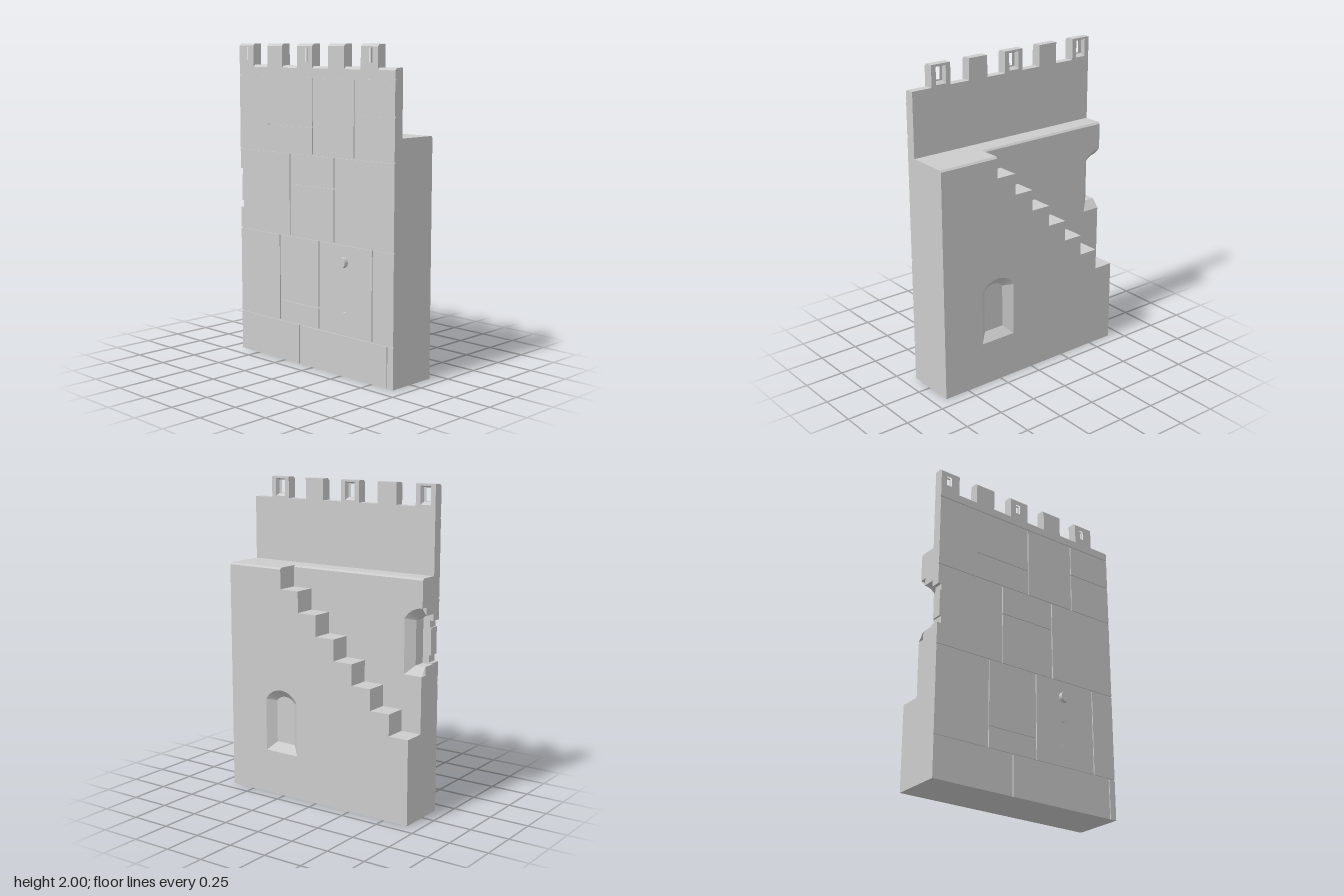
import * as THREE from 'three';

const END = 0.667;                       // half length of the wall along z
const X = { face: -0.155, groove: -0.148, plate: -0.09, walk: 0.035, front: 0.175 };
const grey = new THREE.MeshStandardMaterial({ color: 0xcccccc, flatShading: true });
const greyOpen = new THREE.MeshStandardMaterial({ color: 0xcccccc, flatShading: true, side: THREE.DoubleSide });
const smooth = new THREE.MeshStandardMaterial({ color: 0xcccccc });

// Outlines are lists of [z, y]; shape x is -z so that the extrusion runs along +x.
const toVecs = pts => pts.map(([z, y]) => new THREE.Vector2(-z, y));

// Slab from x0 to x1; bevel = { x, tops, drop } lowers the top edges at one side.
function slab(name, outline, x0, x1, holes = [], bevel) {
  const shape = new THREE.Shape(toVecs(outline));
  holes.forEach(h => shape.holes.push(new THREE.Path(toVecs(h))));
  const geo = new THREE.ExtrudeGeometry(shape, { depth: x1 - x0, bevelEnabled: false });
  geo.rotateY(Math.PI / 2).translate(x0, 0, 0);
  if (bevel) {
    const p = geo.attributes.position;
    for (let i = 0; i < p.count; i++) {
      const hit = bevel.tops.some(t => Math.abs(p.getY(i) - t) < 1e-4);
      if (hit && Math.abs(p.getX(i) - bevel.x) < 1e-4) p.setY(i, p.getY(i) - bevel.drop);
    }
    geo.computeVertexNormals();
  }
  const mesh = new THREE.Mesh(geo, grey);
  mesh.name = name;
  return mesh;
}

// Splayed lining between two matching outlines.
function funnel(name, inner, xIn, outer, xOut, closed) {
  const pos = [];
  const n = inner.length;
  for (let i = 0; i < (closed ? n : n - 1); i++) {
    const j = (i + 1) % n;
    const a = [xIn, inner[i][1], inner[i][0]], b = [xIn, inner[j][1], inner[j][0]];
    const c = [xOut, outer[j][1], outer[j][0]], d = [xOut, outer[i][1], outer[i][0]];
    pos.push(...a, ...b, ...c, ...a, ...c, ...d);
  }
  const geo = new THREE.BufferGeometry();
  geo.setAttribute('position', new THREE.Float32BufferAttribute(pos, 3));
  geo.computeVertexNormals();
  const mesh = new THREE.Mesh(geo, greyOpen);
  mesh.name = name;
  return mesh;
}

// Half of a segmental arched opening, from bottom centre round to the apex.
function halfArch(cz, y0, w, spring, rise) {
  const R = (w * w + rise * rise) / (2 * rise), a = Math.asin(w / R), n = 7;
  const pts = [[cz, y0], [cz + w, y0]];
  for (let i = 0; i <= n; i++) {
    const t = a * (1 - i / n);
    pts.push([cz + R * Math.sin(t), spring + rise - R + R * Math.cos(t)]);
  }
  return pts;
}
const halfSlit = (cz, dy) => [[0, 0.345], [0.025, 0.345], [0.025, 0.39], [0.013, 0.39],
  [0.013, 0.557], [0.022, 0.557], [0.022, 0.6], [0, 0.6]].map(([z, y]) => [cz + z, y + dy]);
const full = (half, cz) => [...half, ...half.slice(1, -1).reverse().map(([z, y]) => [2 * cz - z, y])];
const rect = (z0, z1, y0, y1) => [[z0, y0], [z1, y0], [z1, y1], [z0, y1]];
// Outline starting at the back end, with a half opening cut into that end.
const notched = (outline, half) => [...outline, ...half.slice().reverse()];

export function createModel() {
  const model = new THREE.Group();
  model.name = 'castleWall';
  const add = (...m) => model.add(...m);

  // Window openings: one whole, one cut in half by the back end
  const WZ = 0.268, UP = 0.602;
  const lowIn = full(halfArch(WZ, 0.335, 0.068, 0.608, 0.032), WZ);
  const lowOut = full(halfArch(WZ, 0.282, 0.121, 0.62, 0.07), WZ);
  const upIn = halfArch(-END, 0.335 + UP, 0.068, 0.608 + UP, 0.032);
  const upOut = halfArch(-END, 0.282 + UP, 0.121, 0.62 + UP, 0.07);
  const lowSlit = full(halfSlit(WZ, 0), WZ);
  const upSlit = halfSlit(-END, 0.6);

  // Outer stone courses, separated by grooves: [z0, z1, y0, y1]
  const g = 0.004;
  const bricks = [
    [-END, -0.12, 0, 0.255], [-0.12, 0.62, 0, 0.255], [0.62, END, 0, 0.255],
    [-END, -0.295, 0.255, 0.81], [-0.295, 0.055, 0.255, 0.39], [-0.295, 0.055, 0.39, 0.81],
    [0.055, 0.5, 0.255, 0.81], [0.5, END, 0.255, 0.81],
    [-END, -0.2, 0.81, 1.33], [-0.2, 0.185, 0.81, 1.14], [-0.2, 0.185, 1.14, 1.33],
    [0.185, END, 0.81, 1.33],
    [-END, -0.392, 1.33, 1.8], [-0.4, 0, 1.33, 1.5], [-0.4, 0, 1.5, 1.8],
    [0, 0.35, 1.33, 1.8], [0.35, END, 1.33, 1.59], [0.35, END, 1.59, 1.8],
  ];
  const courses = new THREE.Group();
  courses.name = 'stoneCourses';
  for (const [z0, z1, y0, y1] of bricks) {
    let outline = rect(z0 === -END ? z0 : z0 + g, z1 === END ? z1 : z1 - g, y0 === 0 ? 0 : y0 + g, y1 - g);
    if (z0 === -END && y0 === 0.81) outline = notched(outline, upSlit);
    courses.add(slab('stone', outline, X.face, X.groove, z0 === 0.055 ? [lowSlit] : []));
  }
  add(courses);

  // Wall plate behind the stones, pierced by the arrow slits
  const TOP = 1.804;
  add(slab('wallPlate', notched(rect(-END, END, 0, TOP), upSlit), X.groove, X.plate, [lowSlit]));

  // Battlements with bevelled outer top edge; every second merlon has a window
  const crest = [[-END, TOP], [END, TOP], [END, 1.867]];
  const holesIn = [], holesOut = [];
  for (let i = 0; i < 5; i++) {
    const a = 0.5333 - i * 0.2667, b = i === 4 ? -END : a - 0.1333, c = (a + b) / 2;
    crest.push([a, 1.867], [a, 2], [b, 2]);
    if (i < 4) crest.push([b, 1.867]);
    else crest[crest.length - 1][0] = -END;
    if (i % 2 === 0) {
      holesIn.push(rect(c - 0.026, c + 0.026, 1.894, 1.978));
      holesOut.push(rect(c - 0.035, c + 0.035, 1.878, 1.988));
    }
  }
  const xb = -0.141, xf = -0.115;
  add(slab('battlementEdge', crest, X.face, xb, holesIn, { x: X.face, tops: [1.867, 2], drop: 0.014 }));
  add(slab('battlementCore', crest, xb, xf, holesIn));
  add(slab('battlementInner', crest, xf, X.plate, holesOut));
  holesIn.forEach((h, i) => add(funnel('merlonWindow', h, xf, holesOut[i], X.plate, true)));

  // Walkway body
  const WALK = 1.467, bev = 0.011, splay = 0.045;
  const body = rect(-END, END, 0, WALK);
  add(slab('walkway', notched(body, upIn), X.plate, X.walk - splay, [lowIn]));
  add(slab('walkway', notched(body, upOut), X.walk - splay, X.walk - bev, [lowIn]));
  add(slab('walkwayEdge', notched(body, upOut), X.walk - bev, X.walk, [lowIn],
    { x: X.walk, tops: [WALK], drop: bev }));
  add(funnel('upperWindowSplay', upIn, X.walk - splay, upOut, X.walk, false));

  // Staircase descending toward the back end
  const stairs = [[-END, 0], [END, 0], [END, WALK]];
  for (let i = 0; i < 8; i++) {
    const z = 0.267 - i * 0.1334, y = WALK - i * 0.1334;
    stairs.push([i === 7 ? -END : z, y]);
    if (i < 7) stairs.push([z, y - 0.1334]);
  }
  add(slab('stairs', stairs, X.walk - 0.015, X.front - splay, [lowIn]));
  add(slab('stairs', stairs, X.front - splay, X.front - bev, [lowOut]));
  add(slab('stairsEdge', stairs, X.front - bev, X.front, [lowOut],
    { x: X.front, tops: [WALK], drop: bev }));
  add(funnel('lowerWindowSplay', lowIn, X.front - splay, lowOut, X.front, true));

  // Round peg above the lower slit
  const peg = new THREE.Mesh(new THREE.CylinderGeometry(0.033, 0.033, 0.03, 24), smooth);
  peg.name = 'peg';
  peg.rotation.z = Math.PI / 2;
  peg.position.set(-0.167, 0.705, WZ);
  add(peg);

  return model;
}
